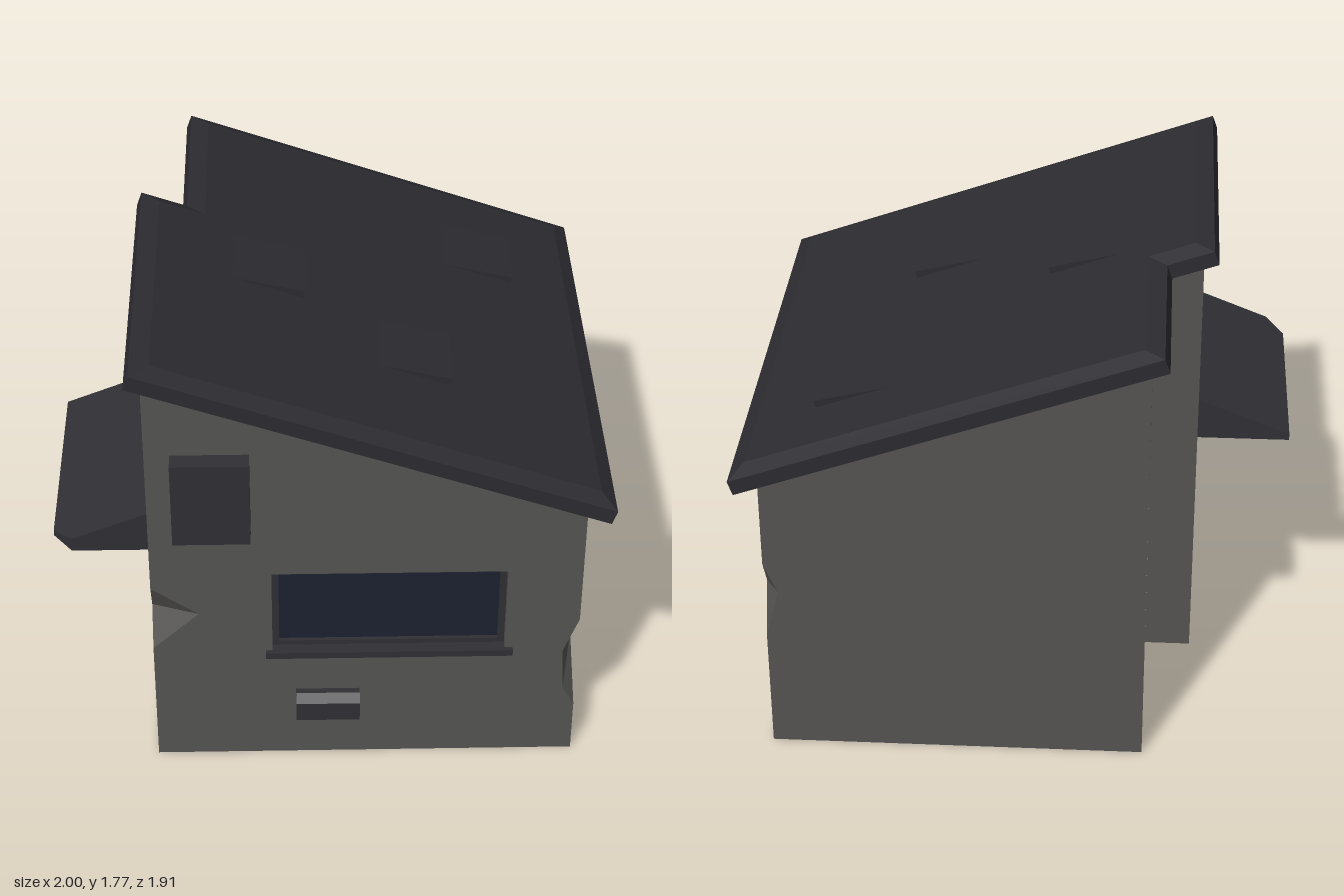
import * as THREE from 'three';

const mat = (color, side = THREE.FrontSide) =>
  new THREE.MeshStandardMaterial({ color, flatShading: true, side });
const WALL = mat(0x555452), CHIP = mat(0x555452, THREE.DoubleSide);
const ROOF = mat(0x2c2b30), TRIM = mat(0x303035), DARK = mat(0x1a1a1e);
const GLASS = mat(0x1c2030), SHARD = mat(0x2c3138, THREE.DoubleSide);

const SLOPE = 0.355, ANGLE = Math.atan(SLOPE);
const wallTop = x => 1.447 - SLOPE * x;   // underside of the roof
const roofTop = x => 1.554 - SLOPE * x;   // upper surface of the roof

function add(parent, name, geometry, material) {
  const mesh = new THREE.Mesh(geometry, material);
  mesh.name = name;
  parent.add(mesh);
  return mesh;
}

const outline = pts => new THREE.Shape(pts.map(p => new THREE.Vector2(...p)));
const rect = (x0, x1, y0, y1) => [[x0, y0], [x1, y0], [x1, y1], [x0, y1]];

function box(parent, name, [x0, x1], [y0, y1], [z0, z1], material) {
  const g = new THREE.BoxGeometry(x1 - x0, y1 - y0, z1 - z0);
  g.translate((x0 + x1) / 2, (y0 + y1) / 2, (z0 + z1) / 2);
  return add(parent, name, g, material);
}

// Rectangular ring between z0 and z1; its opening is x0..x1, y0..y1
function ring(parent, name, [x0, x1, y0, y1], t, z0, z1, material) {
  const s = outline(rect(x0 - t, x1 + t, y0 - t, y1 + t));
  s.holes.push(outline(rect(x0, x1, y0, y1)));
  const g = new THREE.ExtrudeGeometry(s, { depth: z1 - z0, bevelEnabled: false });
  return add(parent, name, g.translate(0, 0, z0), material);
}

// Skin between rows of points, optionally a closed solid with end caps
function loft(rows, closed = false) {
  const pos = [], n = rows[0].length;
  const tri = (...p) => p.forEach(v => pos.push(...v));
  for (let i = 0; i < rows.length - 1; i++) {
    for (let j = 0; j < (closed ? n : n - 1); j++) {
      const k = (j + 1) % n, a = rows[i][j], b = rows[i + 1][j], c = rows[i + 1][k], d = rows[i][k];
      tri(a, c, b);
      tri(a, d, c);
    }
  }
  if (closed) {
    const f = rows[0], l = rows[rows.length - 1];
    for (let j = 1; j < n - 1; j++) {
      tri(f[0], f[j + 1], f[j]);
      tri(l[0], l[j], l[j + 1]);
    }
  }
  const g = new THREE.BufferGeometry();
  g.setAttribute('position', new THREE.Float32BufferAttribute(pos, 3));
  g.computeVertexNormals();
  return g;
}

// Flat wall in its own frame: x along the wall, z outward
function wall(parent, name, position, turn, pts, hole) {
  const side = new THREE.Group();
  side.name = name;
  side.position.set(...position);
  side.rotation.y = turn;
  parent.add(side);
  const s = outline(pts);
  if (hole) s.holes.push(outline(rect(...hole)));
  add(side, name + 'Surface', new THREE.ShapeGeometry(s), WALL);
  return side;
}

export function createModel() {
  const model = new THREE.Group();
  model.name = 'house';
  const L = -0.65, R = 0.905, E = -0.475, F = 0.885, S = -0.185;

  // Walls, notched where the corners are chipped
  const windowHole = [-0.215, 0.635, 0.5, 0.86];
  const front = wall(model, 'frontWall', [0, 0, F], 0, [
    [L, 0], [R, 0], [R, 0.22], [0.86, 0.3], [0.85, 0.48], [R, 0.63], [R, wallTop(R)],
    [L, wallTop(L)], [L, 0.8], [-0.48, 0.68], [L, 0.52]], windowHole);
  wall(model, 'leftWall', [R, 0, 0], Math.PI / 2, [
    [-F, 0], [F, 0], [F, 0.47], [0.81, 0.67], [F, 0.79], [F, wallTop(R)],
    [-F, wallTop(R)], [-F, 0.63], [-0.79, 0.57], [-0.67, 0.39], [-F, 0.22]]);
  wall(model, 'backWall', [0, 0, -F], Math.PI, [
    [-R, 0], [-E, 0], [-E, wallTop(E)], [-R, wallTop(R)], [-R, 0.79], [-0.855, 0.67], [-R, 0.47]]);
  const hatchHole = [-0.1, 0.79, 0.47, 1.0];
  const hatch = wall(model, 'rightWall', [L, 0, 0], -Math.PI / 2, [
    [S, 0], [F, 0], [F, 0.52], [0.825, 0.68], [F, 0.8], [F, wallTop(L)], [S, wallTop(L)]], hatchHole);
  const doorHole = [-0.78, -0.285, 0.035, 0.88];
  const entrance = wall(model, 'entranceWall', [E, 0, 0], -Math.PI / 2,
    [[-F, 0], [S, 0], [S, wallTop(E)], [-F, wallTop(E)]], doorHole);
  wall(model, 'stepWall', [0, 0, S], Math.PI,
    [[-E, 0], [-L, 0], [-L, wallTop(L)], [-E, wallTop(E)]]);

  // Floor
  const floor = new THREE.ShapeGeometry(outline([[L, S], [E, S], [E, -F], [R, -F], [R, F], [L, F]]));
  add(model, 'floor', floor.rotateX(Math.PI / 2), WALL);

  // Broken corners: facets between the notches of two walls
  const chips = [
    [[[R, 0.63, F], [0.85, 0.48, F], [0.86, 0.3, F], [R, 0.22, F]],
      [[R, 0.63, F], [R, 0.57, 0.79], [R, 0.39, 0.67], [R, 0.22, F]]],
    [[[L, 0.8, F], [L, 0.68, 0.825], [L, 0.52, F]],
      [[L, 0.8, F], [-0.48, 0.68, F], [L, 0.52, F]]],
    [[[R, 0.79, -F], [R, 0.67, -0.81], [R, 0.47, -F]],
      [[R, 0.79, -F], [0.855, 0.67, -F], [R, 0.47, -F]]],
  ];
  chips.forEach(rows => add(model, 'cornerChip', loft(rows), CHIP));

  // Sloping L-shaped roof slab, bevelled above and below
  const len = 1.683 / Math.cos(ANGLE), notch = 0.168 / Math.cos(ANGLE), z = 0.952;
  const slab = new THREE.ExtrudeGeometry(
    outline([[0, -z], [len, -z], [len, z], [notch, z], [notch, 0.255], [0, 0.255]]),
    { depth: 0.056, bevelThickness: 0.024, bevelSize: 0.065, bevelOffset: -0.065, bevelSegments: 1 });
  slab.rotateX(-Math.PI / 2).rotateZ(-ANGLE).translate(-0.703, 1.72, 0);
  add(model, 'roof', slab, ROOF);

  // Raised roof tiles: wedges lifted at their lower end
  [[0.73, -0.63], [-0.08, -0.1], [0.445, 0.2]].forEach(([x, z0]) => {
    const a = x - 0.32;
    const g = new THREE.ExtrudeGeometry(
      outline([[a, roofTop(a) - 0.005], [x - 0.01, roofTop(x) - 0.005], [x, roofTop(x) + 0.03]]),
      { depth: 0.29, bevelEnabled: false });
    add(model, 'roofTile', g.translate(0, 0, z0), ROOF);
  });

  // Front window
  ring(front, 'windowReveal', windowHole, 0.02, -0.06, -0.002, WALL);
  ring(front, 'windowFrame', [-0.19, 0.61, 0.522, 0.835], 0.025, -0.06, -0.03, TRIM);
  box(front, 'windowGlass', [-0.2, 0.62], [0.51, 0.85], [-0.06, -0.045], GLASS);
  box(front, 'windowSill', [-0.24, 0.665], [0.475, 0.502], [-0.05, 0.018], TRIM);

  // Wall cabinet and small vent box
  box(front, 'wallCabinet', [-0.56, -0.285], [1.055, 1.395], [-0.01, 0.07], TRIM);
  const vent = new THREE.ExtrudeGeometry(
    outline([[0, 0.2], [0.05, 0.2], [0.05, 0.28], [0.025, 0.312], [0, 0.312]]),
    { depth: 0.235, bevelEnabled: false });
  add(front, 'ventBox', vent.rotateY(-Math.PI / 2).translate(0.105, 0, 0), TRIM);

  // Serving opening with a frame and broken panes
  ring(hatch, 'hatchReveal', hatchHole, 0.02, -0.12, -0.002, WALL);
  box(hatch, 'hatchInterior', [-0.11, 0.8], [0.46, 1.01], [-0.14, -0.12], DARK);
  ring(hatch, 'hatchFrame', [-0.07, 0.76, 0.5, 0.97], 0.03, -0.12, -0.095, TRIM);
  box(hatch, 'hatchMullion', [0.33, 0.36], [0.48, 0.99], [-0.12, -0.095], TRIM);
  [-0.07, 0.36].forEach(u => {
    const s = outline([[u, 0.5], [u + 0.4, 0.5], [u + 0.4, 0.68], [u + 0.31, 0.56],
      [u + 0.2, 0.6], [u + 0.12, 0.54], [u + 0.05, 0.66], [u, 0.7]]);
    add(hatch, 'brokenPane', new THREE.ShapeGeometry(s).translate(0, 0, -0.108), SHARD);
  });

  // Awning with one broken corner
  const section = (x, zz) => [[L, 1.07, zz], [x, 1.07 + (x - L) * 0.4, zz], [x, 0.905, zz], [L, 0.905, zz]];
  add(model, 'awning', loft([section(-1, -0.1), section(-1, 0.7), section(-0.93, 0.79)], true), TRIM);

  // Entrance shutter of upright slats
  ring(entrance, 'doorReveal', doorHole, 0.02, -0.06, -0.002, WALL);
  box(entrance, 'doorPanel', [-0.79, -0.275], [0.025, 0.89], [-0.08, -0.06], TRIM);
  const slats = 9, pitch = 0.495 / slats;
  for (let i = 0; i < slats; i++) {
    const u = -0.78 + i * pitch;
    box(entrance, 'doorSlat', [u + 0.008, u + pitch - 0.012], [0.035, 0.88], [-0.062, -0.042], TRIM);
  }
  return model;
}
